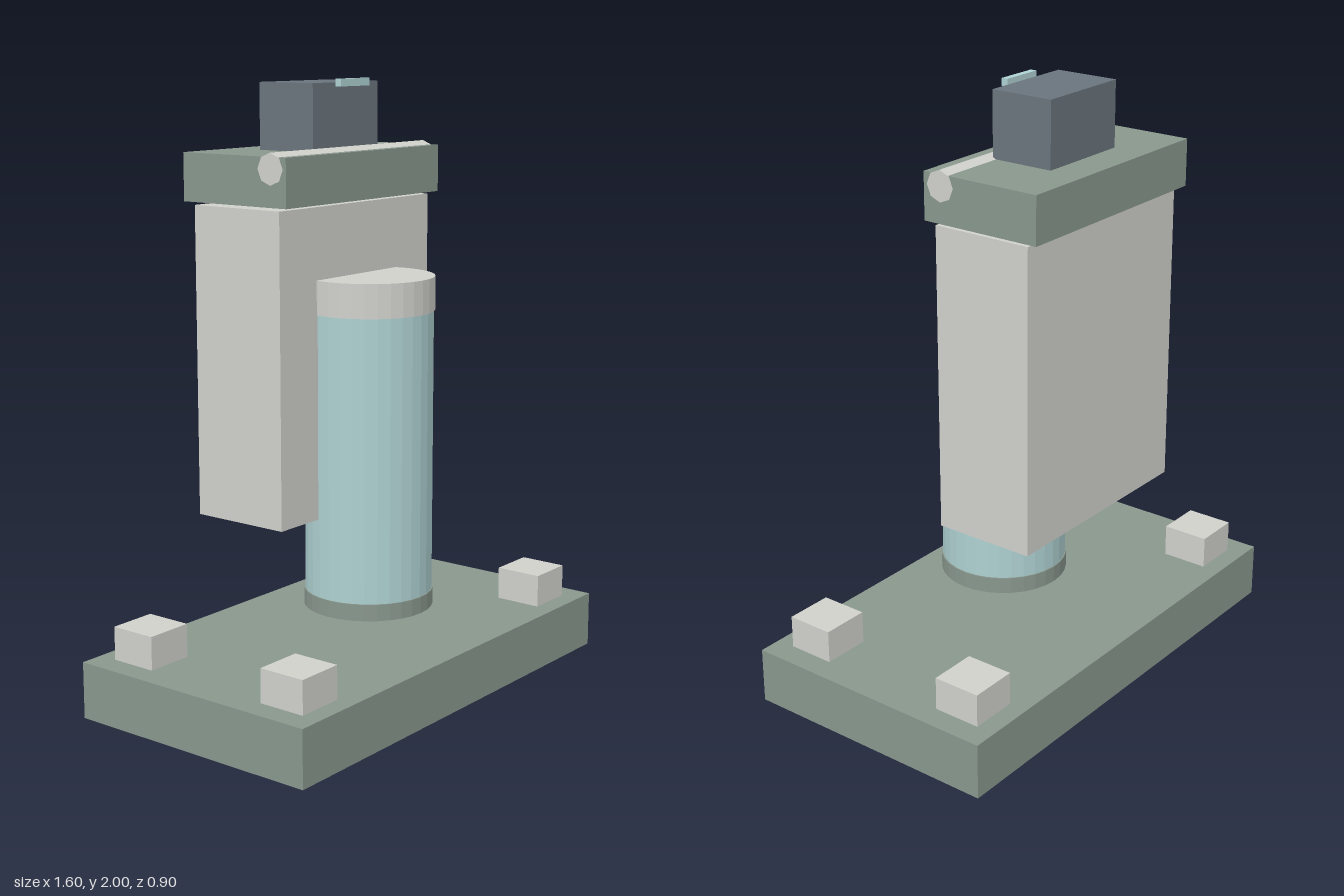
import * as THREE from 'three';

const mat = (name, color) => {
  const m = new THREE.MeshStandardMaterial({ color });
  m.name = name;
  return m;
};

export function createModel() {
  const green = mat('sage green', 0x88978d);
  const grey = mat('light grey', 0xd0d0cb);
  const teal = mat('pale teal', 0xafd1d2);
  const slate = mat('slate', 0x6a747d);
  const model = new THREE.Group();
  model.name = 'machine';

  const add = (name, geometry, material) => {
    const mesh = new THREE.Mesh(geometry, material);
    mesh.name = name;
    model.add(mesh);
    return mesh;
  };

  // Box given by its centre x, half width, and its y and z ranges
  const box = (name, material, x, half, y0, y1, z0, z1) =>
    add(name, new THREE.BoxGeometry(half * 2, y1 - y0, z1 - z0), material)
      .position.set(x, (y0 + y1) / 2, (z0 + z1) / 2);

  // Faceted upright cylinder on the column axis
  const drum = (name, material, radius, y0, y1) => {
    const g = new THREE.CylinderGeometry(radius, radius, y1 - y0, 32).toNonIndexed();
    g.computeVertexNormals();
    add(name, g, material).position.set(0, (y0 + y1) / 2, 0.075);
  };

  // Base plate with four corner blocks
  box('basePlate', green, 0, 0.8, 0, 0.187, -0.45, 0.45);
  for (const x of [-0.64, 0.64]) {
    for (const z of [-0.305, 0.305]) {
      box('cornerBlock', grey, x, 0.081, 0.187, 0.297, z - 0.081, z + 0.081);
    }
  }

  // Column with end collars
  drum('column', teal, 0.209, 0.345, 1.27);
  drum('bottomCollar', green, 0.213, 0.29, 0.345);
  drum('topCollar', grey, 0.213, 1.27, 1.38);

  // Main housing and its cap
  box('housing', grey, 0, 0.386, 0.605, 1.61, -0.32, 0.027);
  box('cap', green, 0, 0.395, 1.62, 1.774, -0.357, 0.062);

  // Eight-sided rod sunk into the cap
  const rod = new THREE.CylinderGeometry(0.05, 0.05, 0.791, 8).toNonIndexed();
  rod.rotateZ(Math.PI / 2);
  rod.computeVertexNormals();
  add('rod', rod, grey).position.set(0, 1.737, 0);

  // Top box and indicator bar
  box('topBox', slate, 0, 0.166, 1.774, 1.988, -0.237, -0.019);
  box('indicatorBar', teal, 0, 0.073, 1.976, 2, -0.003, 0.019);

  return model;
}
